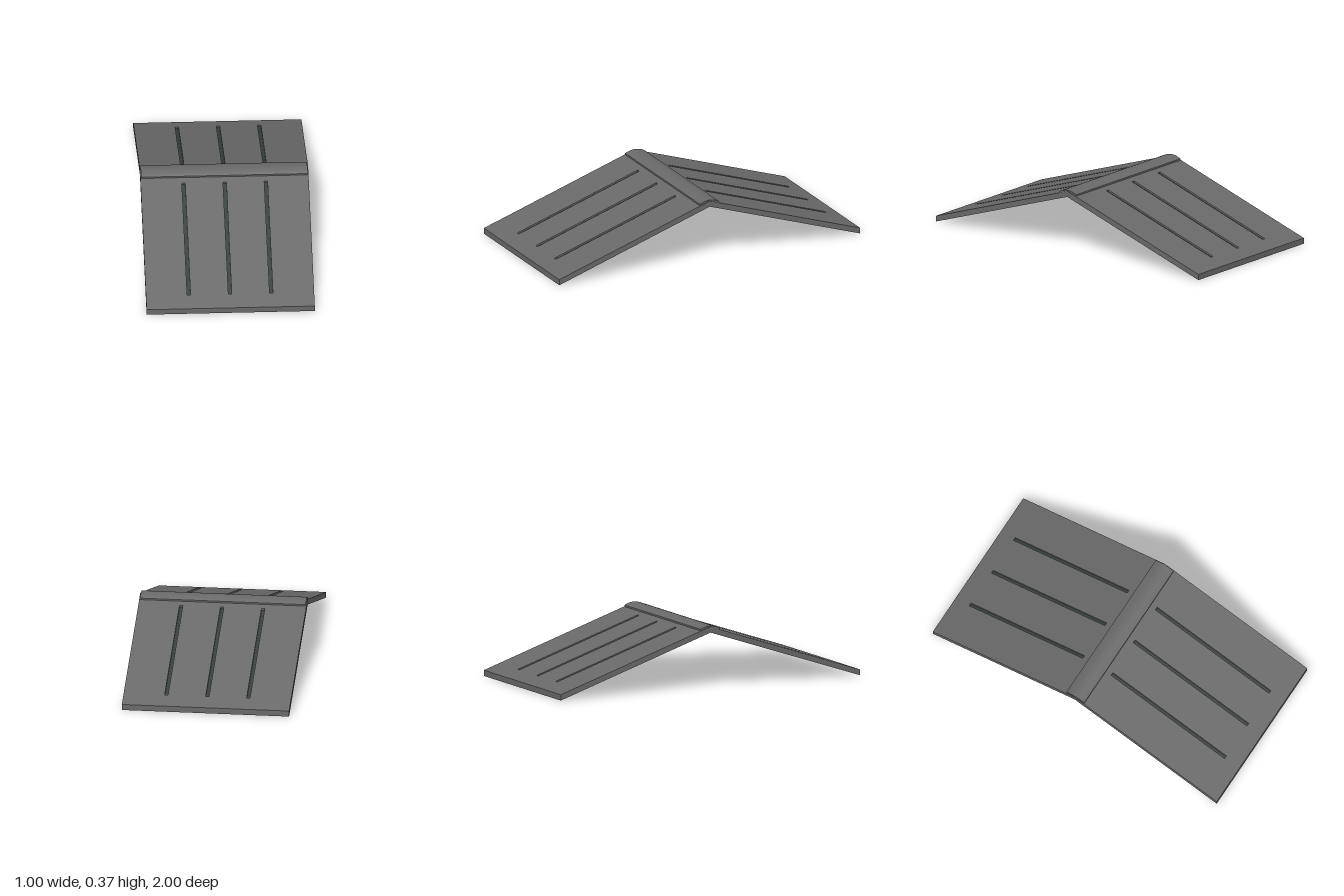
import * as THREE from 'three';
import { toCreasedNormals } from 'three/addons/utils/BufferGeometryUtils.js';

const RISE = 1 / 3;      // height gained from eave to ridge over one unit
const THICK = 0.035;     // vertical panel thickness
const SLOTS = [-0.245, 0, 0.245];

function rectangle(path, x0, x1, z0, z1) {
  path.moveTo(x0, z0);
  path.lineTo(x1, z0);
  path.lineTo(x1, z1);
  path.lineTo(x0, z1);
  path.closePath();
  return path;
}

// Extrude a plan shape (x, z) upward, then shear it along the roof slope
function slopedSlab(shape, base, height) {
  const geo = new THREE.ExtrudeGeometry(shape, { depth: height, bevelEnabled: false });
  geo.rotateX(Math.PI / 2);
  geo.translate(0, height + base, 0);
  const p = geo.attributes.position;
  for (let i = 0; i < p.count; i++) {
    p.setY(i, p.getY(i) + RISE * (1 - p.getZ(i)));
  }
  geo.computeVertexNormals();
  return geo;
}

export function createModel() {
  const roofGrey = new THREE.MeshStandardMaterial({ color: 0x696969 });
  roofGrey.name = 'roofGrey';
  const slotDark = new THREE.MeshStandardMaterial({ color: 0x363e3e });
  slotDark.name = 'slotDark';

  const model = new THREE.Group();
  model.name = 'gableRoof';

  // Slotted panel with a dark strip set midway inside each slot
  const plan = rectangle(new THREE.Shape(), -0.5, 0.5, 0, 1);
  for (const x of SLOTS) {
    plan.holes.push(rectangle(new THREE.Path(), x - 0.01, x + 0.01, 0.1, 0.9));
  }
  const panelGeo = slopedSlab(plan, 0, THICK);
  const stripGeos = SLOTS.map((x) =>
    slopedSlab(rectangle(new THREE.Shape(), x - 0.01, x + 0.01, 0.1, 0.9), 0.011, 0.013));

  for (const side of ['front', 'back']) {
    const slope = new THREE.Group();
    slope.name = side + 'Slope';
    const panel = new THREE.Mesh(panelGeo, roofGrey);
    panel.name = side + 'Panel';
    slope.add(panel);
    stripGeos.forEach((geo, i) => {
      const strip = new THREE.Mesh(geo, slotDark);
      strip.name = side + 'SlotStrip' + (i + 1);
      slope.add(strip);
    });
    if (side === 'back') slope.rotation.y = Math.PI;
    model.add(slope);
  }

  // Rounded ridge cap straddling the peak
  const half = 0.063;
  const peak = RISE + THICK;
  const profile = new THREE.Shape();
  profile.moveTo(-half, peak - half * RISE);
  profile.lineTo(0, peak - 0.002);
  profile.lineTo(half, peak - half * RISE);
  profile.lineTo(half, 0.357);
  profile.quadraticCurveTo(0, 0.389, -half, 0.357);
  profile.closePath();
  const capGeo = new THREE.ExtrudeGeometry(profile, { depth: 0.99, bevelEnabled: false, curveSegments: 16 });
  capGeo.translate(0, 0, -0.495);
  capGeo.rotateY(Math.PI / 2);
  const cap = new THREE.Mesh(toCreasedNormals(capGeo, 0.5), roofGrey);
  cap.name = 'ridgeCap';
  model.add(cap);

  return model;
}
